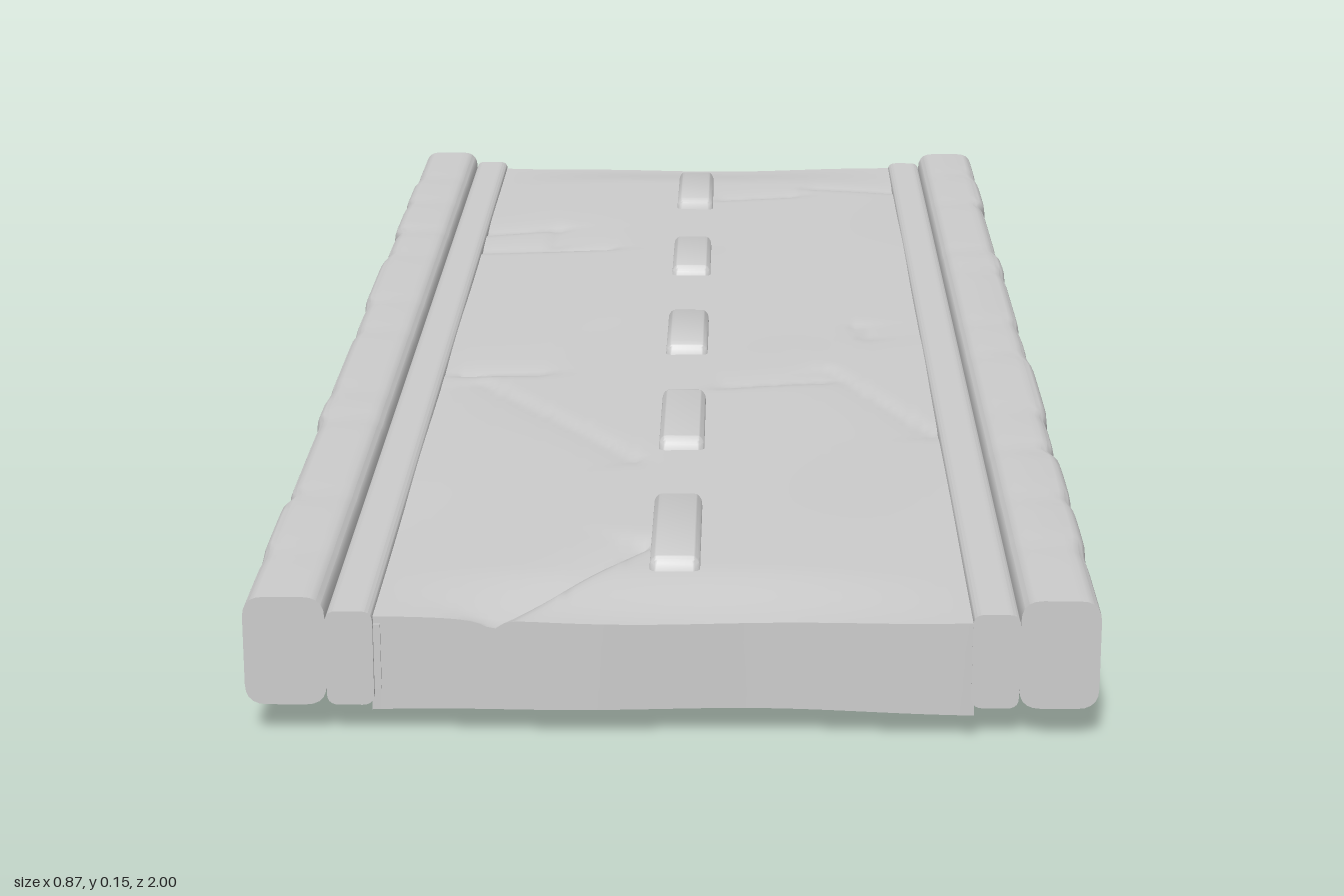
import * as THREE from 'three';
import { toCreasedNormals } from 'three/addons/utils/BufferGeometryUtils.js';
import { RoundedBoxGeometry } from 'three/addons/geometries/RoundedBoxGeometry.js';

const material = new THREE.MeshStandardMaterial({ color: 0xcccccc });

function add(group, geometry, name) {
  const mesh = new THREE.Mesh(geometry, material);
  mesh.name = name;
  group.add(mesh);
  return mesh;
}

// Move every vertex by a rule that edits the vector in place
function deform(geometry, rule) {
  const p = geometry.attributes.position;
  const v = new THREE.Vector3();
  for (let i = 0; i < p.count; i++) {
    rule(v.fromBufferAttribute(p, i));
    p.setXYZ(i, v.x, v.y, v.z);
  }
  return toCreasedNormals(geometry, 0.6);
}

// Rounded rectangle extruded along the full length of the road
function rail(x0, x1, y0, y1, r) {
  const s = new THREE.Shape();
  s.moveTo(x0 + r, y0);
  s.lineTo(x1 - r, y0);
  s.quadraticCurveTo(x1, y0, x1, y0 + r);
  s.lineTo(x1, y1 - r);
  s.quadraticCurveTo(x1, y1, x1 - r, y1);
  s.lineTo(x0 + r, y1);
  s.quadraticCurveTo(x0, y1, x0, y1 - r);
  s.lineTo(x0, y0 + r);
  s.quadraticCurveTo(x0, y0, x0 + r, y0);
  const g = new THREE.ExtrudeGeometry(s, { depth: 2, steps: 80, bevelEnabled: false, curveSegments: 5 });
  return g.translate(0, 0, -1);
}

// Cracks in the surface: start x, z, end x, z, depth
const cracks = [
  [-0.18, 1.0, -0.03, 0.79, 0.012],
  [-0.28, 0.145, -0.18, 0.15, 0.007],
  [-0.3, -0.47, -0.12, -0.465, 0.007],
  [-0.3, -0.57, -0.2, -0.585, 0.006],
  [-0.2, -0.585, -0.2, -0.5, 0.005],
  [-0.05, 0.5, -0.25, 0.18, 0.005],
  [0.3, 0.38, 0.18, 0.13, 0.005],
  [0.05, 0.22, 0.17, 0.18, 0.006],
  [0.04, -0.76, 0.15, -0.79, 0.006],
  [0.18, -0.84, 0.3, -0.84, 0.006],
  [0.22, -0.08, 0.23, -0.02, 0.005],
];

// Steep on one side of the crack line, a gentle ramp on the other
function crackDepth(x, z) {
  let sum = 0;
  for (const [ax, az, bx, bz, depth] of cracks) {
    const dx = bx - ax, dz = bz - az, len = Math.hypot(dx, dz);
    const along = ((x - ax) * dx + (z - az) * dz) / len;
    const side = ((x - ax) * dz - (z - az) * dx) / len;
    const beyond = Math.max(0, -along, along - len);
    const width = side > 0 ? 0.03 : 0.006;
    sum += depth * Math.exp(-Math.abs(side) / width - beyond / 0.015);
  }
  return Math.min(sum, 0.014);
}

// Cambered slab, lowered slightly towards its worn ends
function roadSlab() {
  const g = new THREE.BoxGeometry(0.61, 2, 2, 72, 4, 180);
  return deform(g, (v) => {
    const { x, z } = v;
    const camber = 1 - (x / 0.305) ** 2;
    const end = THREE.MathUtils.smoothstep(Math.abs(z), 0.86, 1);
    const wear = 0.0015 * Math.sin(x * 13 + z * 4) * Math.sin(z * 7 - x * 5);
    const top = 0.127 + 0.008 * camber - end * 0.013 * camber + wear - crackDepth(x, z);
    const bottom = 0.026 - 0.01 * camber + end * 0.014 * camber;
    v.y = THREE.MathUtils.lerp(bottom, top, (v.y + 1) / 2);
    // Uneven break at both ends
    if (Math.abs(z) > 0.99) v.z -= Math.sign(z) * 0.004 * (1 + Math.sin(x * 17));
  });
}

// Kerb made of stones of slightly different width, joined by shallow dips
const joints = [-1, -0.86, -0.68, -0.4, -0.29, -0.02, 0.12, 0.36, 0.5, 0.67, 0.83, 1];
function kerb() {
  return deform(rail(0.35, 0.433, 0.034, 0.15, 0.022), (v) => {
    let i = 0;
    while (i < joints.length - 2 && v.z > joints[i + 1]) i++;
    const nearest = Math.min(...joints.slice(1, -1).map((j) => Math.abs(v.z - j)));
    const dip = 0.004 * Math.exp(-nearest / 0.012);
    const swell = 0.0025 * Math.sin(i * 2.4);
    if (v.x > 0.4) v.x += swell - dip;
    if (v.y > 0.12) v.y -= dip * 0.4;
  });
}

export function createModel() {
  const model = new THREE.Group();
  model.name = 'roadSection';
  add(model, roadSlab(), 'roadSlab');

  // Kerb and gutter on both sides
  for (const side of [1, -1]) {
    const edge = new THREE.Group();
    edge.name = side > 0 ? 'leftEdge' : 'rightEdge';
    add(edge, kerb(), 'kerb');
    add(edge, toCreasedNormals(rail(0.302, 0.35, 0.034, 0.135, 0.012), 0.6), 'gutter');
    add(edge, new THREE.BoxGeometry(0.08, 0.07, 1.99).translate(0.335, 0.084, 0), 'gutterCore');
    if (side < 0) edge.rotation.y = Math.PI;
    model.add(edge);
  }

  // Raised lane dashes above and below, tapered outwards
  const dashes = [[-0.88, -0.69], [-0.48, -0.3], [-0.09, 0.085], [0.27, 0.475], [0.66, 0.88]];
  for (const [z0, z1] of dashes) {
    for (const up of [1, -1]) {
      const g = new RoundedBoxGeometry(0.056, 0.04, z1 - z0, 3, 0.008);
      const half = (z1 - z0) / 2;
      deform(g, (v) => {
        const t = THREE.MathUtils.smoothstep(v.y, 0, 0.02);
        v.x *= 1 - 0.12 * t;
        v.z *= 1 - (up > 0 ? 0.006 : 0.015) * t / half;
      });
      const dash = add(model, g, up > 0 ? 'laneDash' : 'undersideDash');
      dash.position.set(0, up > 0 ? 0.13 : 0.02, (z0 + z1) / 2);
      if (up < 0) dash.rotation.z = Math.PI;
    }
  }
  return model;
}
